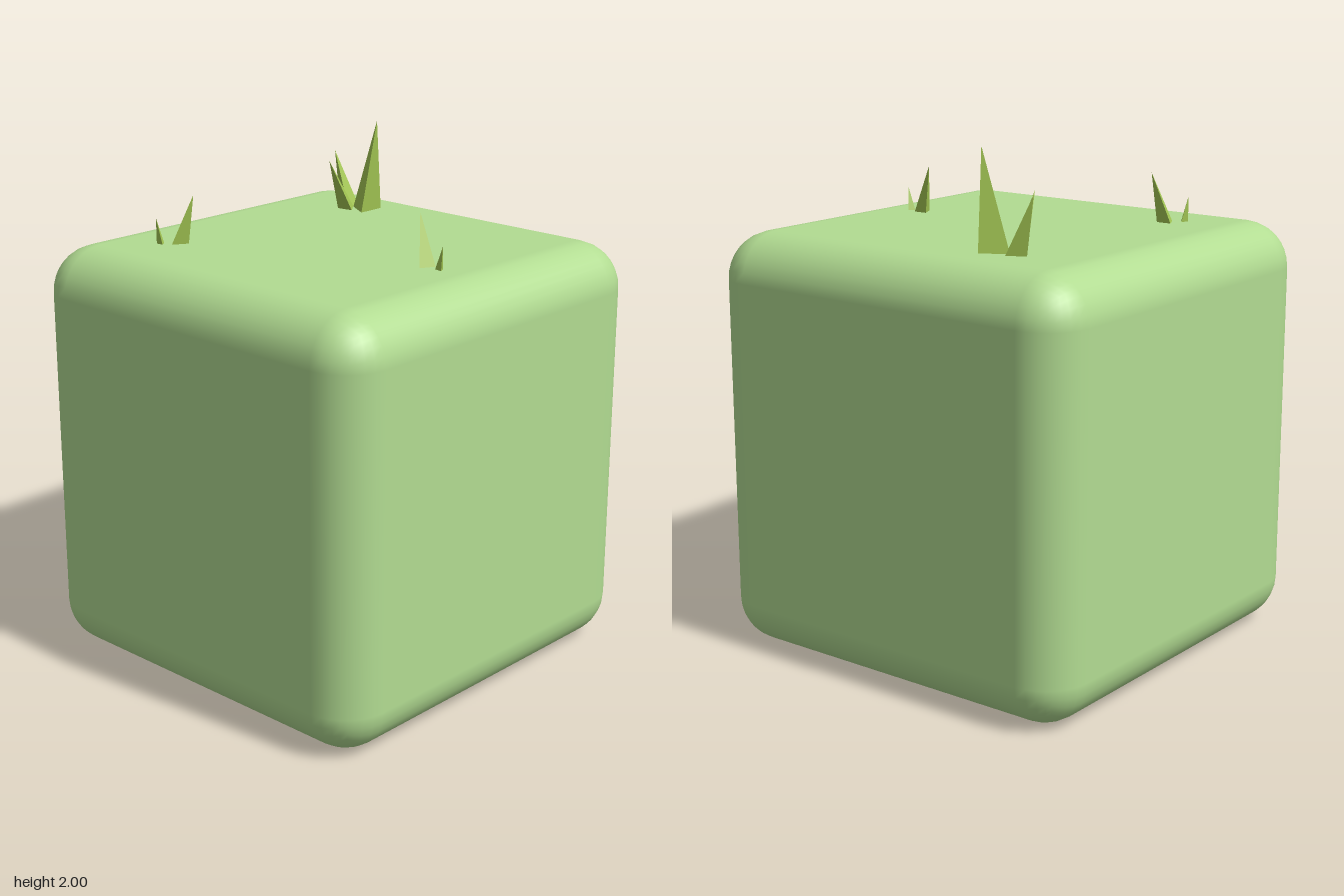
import * as THREE from 'three';
import { RoundedBoxGeometry } from 'three/addons/geometries/RoundedBoxGeometry.js';

const SIZE = 1.63;
const BASE_Y = SIZE - 0.01;

// Three-sided pointed blade: tip [x, y, z] over three base corners [x, z]
function blade(tip, corners, material) {
  let [a, b, c] = corners.map(([x, z]) => [x, BASE_Y, z]);
  // keep the base corners counter-clockwise seen from above
  const turn = (b[2] - a[2]) * (c[0] - a[0]) - (b[0] - a[0]) * (c[2] - a[2]);
  if (turn < 0) [b, c] = [c, b];
  const faces = [a, b, tip, b, c, tip, c, a, tip, a, c, b];
  const geometry = new THREE.BufferGeometry();
  geometry.setAttribute('position', new THREE.Float32BufferAttribute(faces.flat(), 3));
  geometry.computeVertexNormals();
  const mesh = new THREE.Mesh(geometry, material);
  mesh.name = 'grassBlade';
  return mesh;
}

export function createModel() {
  const model = new THREE.Group();
  model.name = 'grassBlock';

  const blockMaterial = new THREE.MeshStandardMaterial({ color: 0xb2dc92 });
  const grassMaterial = new THREE.MeshStandardMaterial({ color: 0xa3c653, flatShading: true });

  // Soft-edged cube
  const block = new THREE.Mesh(new RoundedBoxGeometry(SIZE, SIZE, SIZE, 4, 0.18), blockMaterial);
  block.name = 'block';
  block.position.y = SIZE / 2;
  model.add(block);

  // Grass tufts on the top face
  const tufts = {
    backTuft: [
      [[-0.24, 2.0, -0.49], [[-0.37, -0.49], [-0.27, -0.55], [-0.27, -0.43]]],
      [[-0.47, 1.85, -0.49], [[-0.44, -0.49], [-0.37, -0.53], [-0.365, -0.46]]],
      [[-0.37, 1.84, -0.35], [[-0.37, -0.5], [-0.395, -0.43], [-0.325, -0.44]]],
    ],
    leftTuft: [
      [[0.425, 1.82, 0.015], [[0.45, 0.02], [0.51, 0.02], [0.48, 0.08]]],
      [[0.563, 1.72, 0.05], [[0.525, 0.05], [0.545, 0.025], [0.56, 0.055]]],
    ],
    rightTuft: [
      [[-0.375, 1.82, 0.388], [[-0.465, 0.395], [-0.435, 0.455], [-0.4, 0.395]]],
      [[-0.488, 1.73, 0.478], [[-0.472, 0.45], [-0.455, 0.475], [-0.487, 0.478]]],
    ],
  };
  for (const [name, blades] of Object.entries(tufts)) {
    const tuft = new THREE.Group();
    tuft.name = name;
    for (const [tip, corners] of blades) tuft.add(blade(tip, corners, grassMaterial));
    model.add(tuft);
  }
  return model;
}
